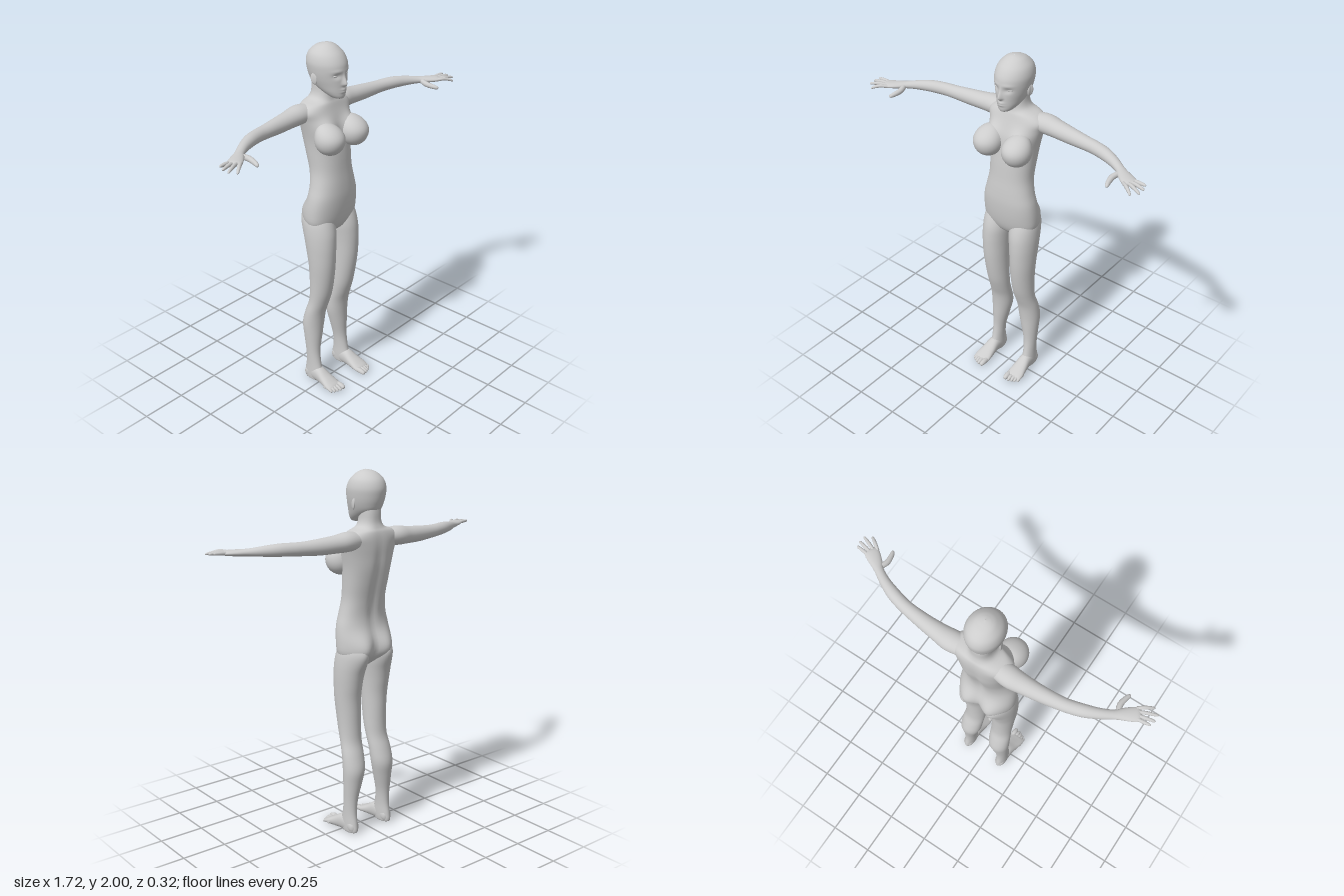
import * as THREE from 'three';

const skin = new THREE.MeshStandardMaterial({ color: 0xcccccc });
skin.name = 'light grey clay';
const V = (x, y, z) => new THREE.Vector3(x, y, z);
const X = V(1, 0, 0), Y = V(0, 1, 0), Z = V(0, 0, 1);
const bump = (d, w) => Math.exp(-(d * d) / (w * w));

// Smooth loft through rings [x, y, z, ru, rv]; ru lies along U, rv across U and the path.
function loft(rings, U, T, { seg = 32, sub = 4, power = 1, rule } = {}) {
  const path = new THREE.CatmullRomCurve3(rings.map(r => V(r[0], r[1], r[2])), false, 'catmullrom', 0.5);
  const size = new THREE.CatmullRomCurve3(rings.map(r => V(r[3], r[4], 0)), false, 'catmullrom', 0.5);
  const rows = (rings.length - 1) * sub, pos = [], index = [];
  const shape = v => Math.sign(v) * Math.pow(Math.abs(v), power);
  for (let i = 0; i <= rows; i++) {
    const c = path.getPoint(i / rows), s = size.getPoint(i / rows);
    const side = U.clone().cross(T || path.getTangent(i / rows)).normalize();
    for (let j = 0; j < seg; j++) {
      const a = (j / seg) * Math.PI * 2;
      const p = c.clone()
        .addScaledVector(U, shape(Math.cos(a)) * Math.max(s.x, 0.0005))
        .addScaledVector(side, shape(Math.sin(a)) * Math.max(s.y, 0.0005));
      if (rule) rule(p);
      pos.push(p.x, p.y, p.z);
      if (i < rows) {
        const k = (j + 1) % seg, b = i * seg, n = b + seg;
        index.push(b + j, n + j, b + k, b + k, n + j, n + k);
      }
    }
  }
  const g = new THREE.BufferGeometry();
  g.setAttribute('position', new THREE.Float32BufferAttribute(pos, 3));
  g.setIndex(index);
  g.computeVertexNormals();
  return g;
}

// Upright rings given as [y, xMin, xMax, zFront, zBack].
const upright = rows => rows.map(([y, a, b, f, k]) => [(a + b) / 2, y, (f + k) / 2, (b - a) / 2, (f - k) / 2]);
const centred = rows => upright(rows.map(([y, w, f, k]) => [y, -w, w, f, k]));

// Fullness of the seat, shared by torso and legs so they merge
function seat(p) {
  const back = THREE.MathUtils.smoothstep(-p.z, 0, 0.09);
  p.z -= 0.048 * back * bump(Math.abs(p.x) - 0.078, 0.066) * bump(p.y - 1.055, 0.085);
}

function ellipsoid(c, r, rule) {
  const g = new THREE.SphereGeometry(1, 32, 24);
  g.scale(...r);
  if (rule) {
    const p = g.attributes.position, v = V(0, 0, 0);
    for (let i = 0; i < p.count; i++) {
      rule(v.fromBufferAttribute(p, i));
      p.setXYZ(i, v.x, v.y, v.z);
    }
    g.computeVertexNormals();
  }
  return g.translate(...c);
}

// Tapered, round-ended digit through the given points.
function digit(points, r, U) {
  const k = [0.9, 1, 0.85, 0.6, 0];
  const curve = new THREE.CatmullRomCurve3(points.map(p => V(...p)));
  return loft([0, 0.4, 0.75, 0.94, 1].map((t, i) => [...curve.getPoint(t).toArray(), r * k[i], r * k[i]]), U, null, { seg: 12, sub: 3 });
}

function mirrored(geo) {
  const g = geo.clone();
  const p = g.attributes.position, n = g.attributes.normal, idx = g.index;
  for (let i = 0; i < p.count; i++) {
    p.setX(i, -p.getX(i));
    n.setX(i, -n.getX(i));
  }
  for (let i = 0; i < idx.count; i += 3) {
    const a = idx.getX(i);
    idx.setX(i, idx.getX(i + 1));
    idx.setX(i + 1, a);
  }
  return g;
}

export function createModel() {
  const model = new THREE.Group();
  model.name = 'figure';
  const add = (name, g) => {
    const m = new THREE.Mesh(g, skin);
    m.name = name;
    model.add(m);
  };
  const pair = (name, g) => {
    add(name + 'Left', g);
    add(name + 'Right', mirrored(g));
  };

  // Torso and neck, with a groove along the spine and a fuller chest
  add('torso', loft(centred([
    [0.955, 0.03, 0.0, -0.05], [0.985, 0.11, 0.035, -0.08], [1.03, 0.158, 0.058, -0.11],
    [1.1, 0.165, 0.072, -0.118], [1.18, 0.157, 0.078, -0.106], [1.25, 0.139, 0.075, -0.104],
    [1.33, 0.125, 0.067, -0.117], [1.42, 0.128, 0.06, -0.14], [1.5, 0.135, 0.05, -0.157],
    [1.57, 0.148, 0.038, -0.163], [1.62, 0.16, 0.022, -0.165], [1.66, 0.17, 0.008, -0.163],
    [1.69, 0.135, -0.002, -0.157], [1.71, 0.078, -0.01, -0.147], [1.74, 0.057, -0.015, -0.138],
    [1.79, 0.053, -0.02, -0.136], [1.84, 0.052, -0.02, -0.13],
  ]), X, Y, {
    seg: 64, power: 0.9,
    rule: p => {
      seat(p);
      if (p.z < -0.05) p.z += 0.014 * bump(p.x, 0.025) * bump(p.y - 1.38, 0.22);
      const front = THREE.MathUtils.smoothstep(p.z, -0.05, 0.02);
      p.z += 0.045 * front * bump(Math.abs(p.x) - 0.088, 0.05) * bump(p.y - 1.56, 0.055);
    },
  }));
  pair('breast', ellipsoid([0.092, 1.53, 0.053], [0.079, 0.082, 0.082], p => {
    if (p.y > 0) p.z -= 4 * p.y * p.y;
  }));

  // Head, with nose, lips, brow and eye sockets pushed out of the surface
  add('head', loft(centred([
    [1.725, 0.0, 0.04, 0.02], [1.729, 0.025, 0.057, -0.01], [1.742, 0.042, 0.064, -0.04],
    [1.765, 0.059, 0.066, -0.085], [1.795, 0.073, 0.067, -0.13], [1.83, 0.085, 0.067, -0.149],
    [1.87, 0.093, 0.068, -0.16], [1.91, 0.095, 0.062, -0.163], [1.95, 0.083, 0.039, -0.148],
    [1.98, 0.056, 0.005, -0.115], [1.994, 0.03, -0.022, -0.08], [2.0, 0.0, -0.045, -0.05],
  ]), X, Y, {
    seg: 112, sub: 7,
    rule: p => {
      if (p.z < 0) return;
      const x = Math.abs(p.x), y = p.y;
      const nose = y > 1.808 ? bump(y - 1.808, 0.035) : bump(y - 1.808, 0.01);
      p.z += 0.021 * bump(x, 0.006 + 0.006 * nose) * nose
        + 0.006 * bump(x, 0.018) * (bump(y - 1.78, 0.006) + bump(y - 1.767, 0.006))
        - 0.009 * bump(x - 0.036, 0.02) * bump(y - 1.852, 0.013)
        + 0.003 * bump(x - 0.038, 0.028) * bump(y - 1.876, 0.008);
    },
  }));
  pair('eye', ellipsoid([0.037, 1.852, 0.041], [0.018, 0.007, 0.011]));
  const ear = ellipsoid([0, 0, 0], [0.007, 0.03, 0.017], p => { p.x += p.z < 0 ? -p.z * 0.5 : 0; });
  pair('ear', ear.rotateX(-0.15).translate(0.087, 1.83, -0.055));

  // Arms, swept forward from the elbow to the palm
  pair('arm', loft([
    [0.1, 1.648, -0.09, 0.045, 0.055], [0.17, 1.648, -0.098, 0.051, 0.058], [0.24, 1.643, -0.095, 0.046, 0.05],
    [0.33, 1.639, -0.088, 0.042, 0.042], [0.42, 1.639, -0.078, 0.036, 0.036], [0.48, 1.641, -0.068, 0.034, 0.034],
    [0.55, 1.643, -0.048, 0.032, 0.033], [0.62, 1.641, -0.018, 0.026, 0.027], [0.68, 1.638, 0.017, 0.019, 0.024],
    [0.715, 1.637, 0.042, 0.017, 0.031], [0.75, 1.637, 0.065, 0.015, 0.037], [0.775, 1.637, 0.081, 0.012, 0.036],
    [0.789, 1.636, 0.09, 0.004, 0.022],
  ], Y, null));

  // Fingers and thumb: [knuckle x, z, tip x, z, tip height]
  [
    [0.75, 0.102, 0.825, 0.156, 1.626], [0.764, 0.09, 0.858, 0.13, 1.633],
    [0.774, 0.074, 0.86, 0.094, 1.637], [0.778, 0.057, 0.85, 0.064, 1.642],
  ].forEach(([x, z, tx, tz, ty], i) =>
    pair('finger' + (i + 1), digit([[x, 1.638, z], [(x + tx) / 2, 1.641, (z + tz) / 2], [tx, ty, tz]], 0.0095, Y)));
  pair('thumb', digit([[0.69, 1.634, 0.035], [0.676, 1.626, 0.09], [0.693, 1.617, 0.153]], 0.015, Y));

  // Legs
  pair('leg', loft(upright([
    [1.1, 0.03, 0.14, 0.03, -0.08], [1.04, 0.012, 0.16, 0.056, -0.108], [0.98, 0.01, 0.167, 0.072, -0.116],
    [0.92, 0.016, 0.168, 0.077, -0.109], [0.86, 0.021, 0.166, 0.077, -0.098], [0.78, 0.024, 0.162, 0.073, -0.084],
    [0.69, 0.025, 0.156, 0.062, -0.08], [0.6, 0.026, 0.152, 0.045, -0.08], [0.53, 0.029, 0.152, 0.024, -0.086],
    [0.46, 0.032, 0.159, 0.002, -0.108], [0.38, 0.037, 0.162, -0.008, -0.127], [0.3, 0.054, 0.158, -0.012, -0.117],
    [0.2, 0.077, 0.152, -0.015, -0.102], [0.12, 0.084, 0.15, -0.004, -0.1], [0.06, 0.084, 0.151, 0.012, -0.11],
    [0.025, 0.086, 0.15, 0.01, -0.114], [0.008, 0.092, 0.144, 0.0, -0.104], [0.005, 0.115, 0.12, -0.04, -0.05],
  ].reverse()), X, Y, { seg: 48, rule: seat }));

  // Feet and toes
  pair('foot', loft([
    [0.118, 0.035, -0.112, 0.005, 0.005], [0.118, 0.04, -0.095, 0.028, 0.032], [0.118, 0.05, -0.05, 0.033, 0.046],
    [0.119, 0.05, 0.0, 0.036, 0.047], [0.121, 0.035, 0.05, 0.043, 0.033], [0.123, 0.024, 0.09, 0.049, 0.022],
    [0.122, 0.018, 0.115, 0.045, 0.015], [0.118, 0.015, 0.128, 0.03, 0.006],
  ], X, Z, { power: 0.9 }));
  [[0.09, 0.16, 0.0155], [0.113, 0.157, 0.011], [0.131, 0.15, 0.0105], [0.147, 0.142, 0.01], [0.162, 0.131, 0.01]]
    .forEach(([x, z, r], i) =>
      pair('toe' + (i + 1), digit([[x, 0.02, z - 0.06], [x, 0.02, z - 0.025], [x + 0.001, r * 0.85, z]], r, X)));

  return model;
}
